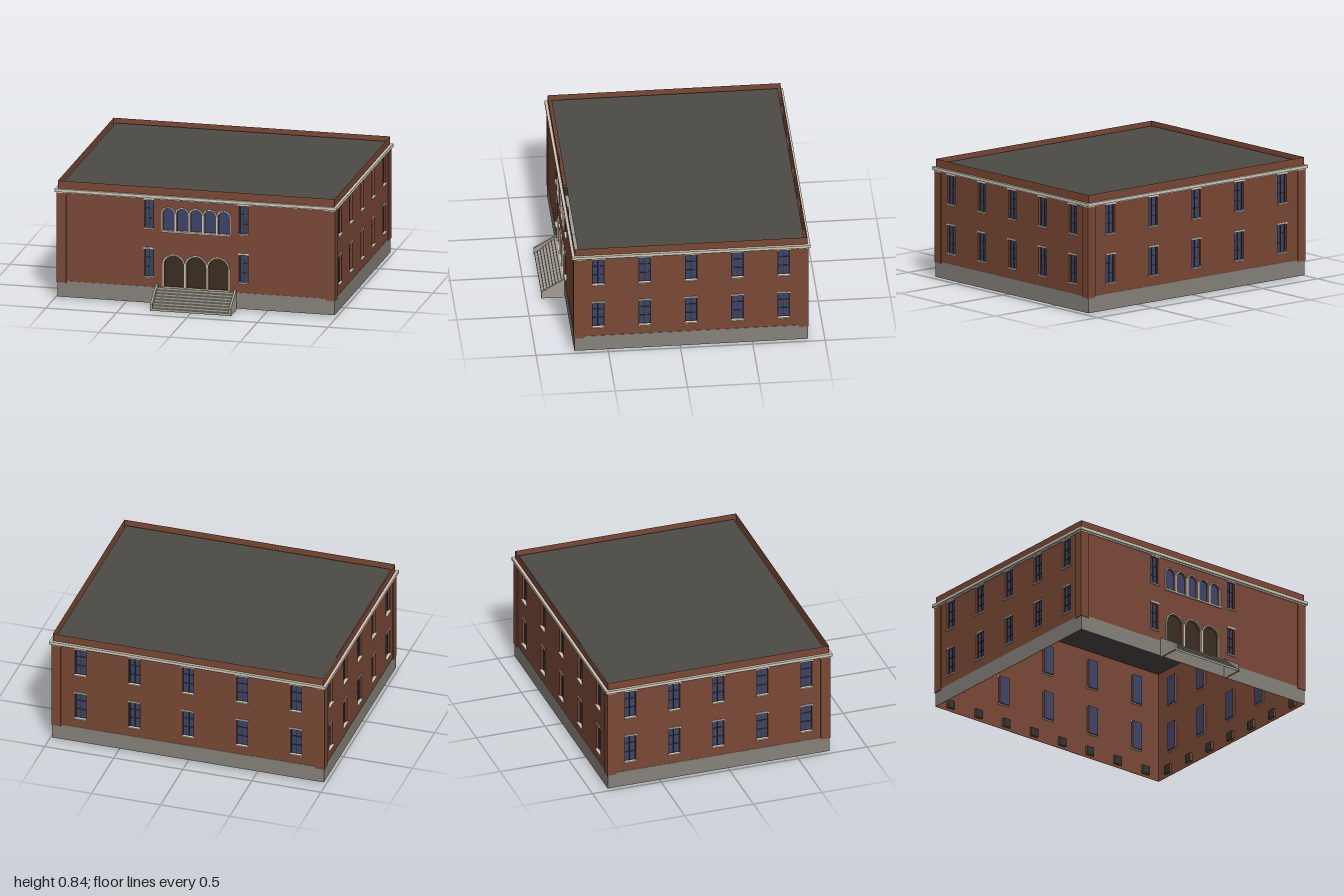
import * as THREE from 'three';

const mat = (name, color, side = THREE.FrontSide) => {
  const m = new THREE.MeshStandardMaterial({ color, side });
  m.name = name;
  return m;
};
const D = THREE.DoubleSide;
const M = {
  brick: mat('brick', 0x7a4835, D),
  base: mat('baseStone', 0x86827a),
  trim: mat('paleTrim', 0xcfc8b8),
  glass: mat('windowGlass', 0x3c4468, D),
  frame: mat('darkFrame', 0x2f332f, D),
  door: mat('darkDoor', 0x3a2c20, D),
  roof: mat('roof', 0x4d4a44, D),
  step: mat('stepStone', 0xa39e92, D),
};

const BOTTOM = 0.01, BASE_TOP = 0.125, TOP = 0.84, DEPTH = 0.02;

function add(parent, name, geo, material, x = 0, y = 0, z = 0) {
  const mesh = new THREE.Mesh(geo, material);
  mesh.name = name;
  mesh.position.set(x, y, z);
  parent.add(mesh);
  return mesh;
}

// Box given by its limits
function box(parent, name, material, x0, x1, y0, y1, z0, z1) {
  return add(parent, name, new THREE.BoxGeometry(x1 - x0, y1 - y0, z1 - z0), material,
    (x0 + x1) / 2, (y0 + y1) / 2, (z0 + z1) / 2);
}

// Outline of an opening, with a flat or round head
function outline(u, y0, w, h, arched) {
  const r = w / 2, pts = [new THREE.Vector2(u - r, y0), new THREE.Vector2(u + r, y0)];
  if (!arched) {
    pts.push(new THREE.Vector2(u + r, y0 + h), new THREE.Vector2(u - r, y0 + h));
    return pts;
  }
  for (let i = 0; i <= 16; i++) {
    const a = Math.PI * i / 16;
    pts.push(new THREE.Vector2(u + r * Math.cos(a), y0 + h - r + r * Math.sin(a)));
  }
  return pts;
}

// Inner sides of an opening, running back from the wall
function reveal(pts) {
  const v = [];
  pts.forEach((a, i) => {
    const b = pts[(i + 1) % pts.length];
    v.push(a.x, a.y, 0, b.x, b.y, 0, b.x, b.y, -DEPTH);
    v.push(a.x, a.y, 0, b.x, b.y, -DEPTH, a.x, a.y, -DEPTH);
  });
  const g = new THREE.BufferGeometry();
  g.setAttribute('position', new THREE.Float32BufferAttribute(v, 3));
  g.computeVertexNormals();
  return g;
}

function opening(side, name, pts, material) {
  add(side, name + 'Reveal', reveal(pts), M.brick);
  add(side, name + 'Pane', new THREE.ShapeGeometry(new THREE.Shape(pts)), material, 0, 0, -DEPTH);
}

// Rectangular sash window with lintel, sill and glazing bars
function sashWindow(side, holes, u, y0, w, h) {
  const pts = outline(u, y0, w, h, false);
  holes.push(pts);
  opening(side, 'window', pts, M.glass);
  const r = w / 2, t = 0.0025, z0 = -DEPTH + 0.001, z1 = -DEPTH + 0.006;
  for (const x of [u - r + t, u, u + r - t])
    box(side, 'glazingBar', M.frame, x - t, x + t, y0, y0 + h, z0, z1);
  for (const k of [1 / 3, 2 / 3])
    box(side, 'glazingBar', M.frame, u - r, u + r, y0 + h * k - 0.0015, y0 + h * k + 0.0015, z0, z1);
  box(side, 'lintel', M.trim, u - r - 0.005, u + r + 0.005, y0 + h - 0.006, y0 + h + 0.006, -0.004, 0.006);
  box(side, 'sill', M.trim, u - r - 0.008, u + r + 0.008, y0 - 0.006, y0 + 0.003, -0.008, 0.011);
}

// Round-headed opening with a pale surround
function archOpening(side, holes, name, material, u, y0, w, h, t) {
  const pts = outline(u, y0, w, h, true);
  holes.push(pts);
  opening(side, name, pts, material);
  const ring = new THREE.Shape(outline(u, y0, w + 2 * t, h + t, true));
  ring.holes.push(new THREE.Path(pts));
  add(side, name + 'Surround',
    new THREE.ExtrudeGeometry(ring, { depth: 0.008, bevelEnabled: false }), M.trim);
}

// One facade, facing local +z
function facade(name, half, columns, w, basementCount, extra) {
  const side = new THREE.Group(), holes = [];
  side.name = name;
  for (const u of columns)
    for (const [y0, h] of [[0.195, 0.205], [0.542, 0.21]]) sashWindow(side, holes, u, y0, w, h);
  if (extra) extra(side, holes);

  const wall = new THREE.Shape(outline(0, BOTTOM, half * 2, TOP - BOTTOM, false));
  for (const h of holes) wall.holes.push(new THREE.Path(h));
  add(side, 'wall', new THREE.ShapeGeometry(wall), M.brick);

  // Small cellar windows on the inside of the wall
  for (let i = 0; i < basementCount; i++) {
    const u = half * (2 * (i + 0.5) / basementCount - 1);
    opening(side, 'cellarWindow', outline(u, 0.03, 0.06, 0.06, false), M.frame);
  }

  box(side, 'base', M.base, -half - 0.003, half + 0.003, BOTTOM, BASE_TOP, 0.0005, 0.003);
  for (const s of [-1, 1]) {
    const a = s * (half - 0.06), b = s * (half + 0.008);
    box(side, 'cornerPilaster', M.brick, Math.min(a, b), Math.max(a, b), 0.113, 0.757, 0.0005, 0.008);
  }
  box(side, 'corniceLower', M.trim, -half - 0.01, half + 0.01, 0.755, 0.766, 0.0005, 0.01);
  box(side, 'corniceUpper', M.trim, -half - 0.02, half + 0.02, 0.764, 0.785, 0.0005, 0.02);
  return side;
}

// Arched doors and the arcade of windows above them
function entrance(side, holes) {
  for (let i = -1; i <= 1; i++)
    archOpening(side, holes, 'door', M.door, i * 0.157, 0.13, 0.14, 0.228, 0.0095);
  for (let i = -2; i <= 2; i++)
    archOpening(side, holes, 'archWindow', M.glass, i * 0.098, 0.533, 0.081, 0.163, 0.0085);
  box(side, 'arcadeSill', M.trim, -0.247, 0.247, 0.523, 0.534, -0.008, 0.012);
}

function stairs() {
  const g = new THREE.Group();
  g.name = 'frontStairs';
  const n = 8, z0 = 0.735, z1 = 0.89, run = (z1 - z0) / n, rise = 0.13 / n;
  for (let i = 0; i < n; i++) {
    const y = rise * (i + 1), z = z1 - run * i;
    box(g, 'riser', M.step, -0.272, 0.272, y - rise, y, z - 0.002, z);
    box(g, 'tread', M.step, -0.272, 0.272, y - 0.002, y, z - run, z);
  }
  const profile = new THREE.Shape([[z0, 0], [0.895, 0], [0.895, 0.05], [z0, 0.148]]
    .map(([x, y]) => new THREE.Vector2(x, y)));
  const cheek = new THREE.ExtrudeGeometry(profile, { depth: 0.015, bevelEnabled: false });
  cheek.rotateY(-Math.PI / 2);
  add(g, 'leftCheekWall', cheek, M.step, 0.286);
  add(g, 'rightCheekWall', cheek, M.step, -0.271);
  return g;
}

export function createModel() {
  const model = new THREE.Group();
  model.name = 'building';
  const halfX = 0.98, halfZ = 0.805, cz = -0.075;
  const sideColumns = [-2, -1, 0, 1, 2].map(i => i * 0.321);
  const backColumns = [-2, -1, 0, 1, 2].map(i => i * 0.39);

  const sides = [
    [facade('frontFacade', halfX, [-0.335, 0.335], 0.062, 8, entrance), 0, cz + halfZ, 0],
    [facade('backFacade', halfX, backColumns, 0.08, 8), 0, cz - halfZ, Math.PI],
    [facade('leftFacade', halfZ, sideColumns, 0.08, 7), halfX, cz, Math.PI / 2],
    [facade('rightFacade', halfZ, sideColumns, 0.08, 7), -halfX, cz, -Math.PI / 2],
  ];
  for (const [side, x, z, angle] of sides) {
    side.position.set(x, 0, z);
    side.rotation.y = angle;
    model.add(side);
  }

  // Flat roof set below the parapet
  const roof = new THREE.PlaneGeometry(1.92, 1.565).rotateX(-Math.PI / 2);
  add(model, 'roof', roof, M.roof, 0, 0.81, cz - 0.002);
  model.add(stairs());
  return model;
}
